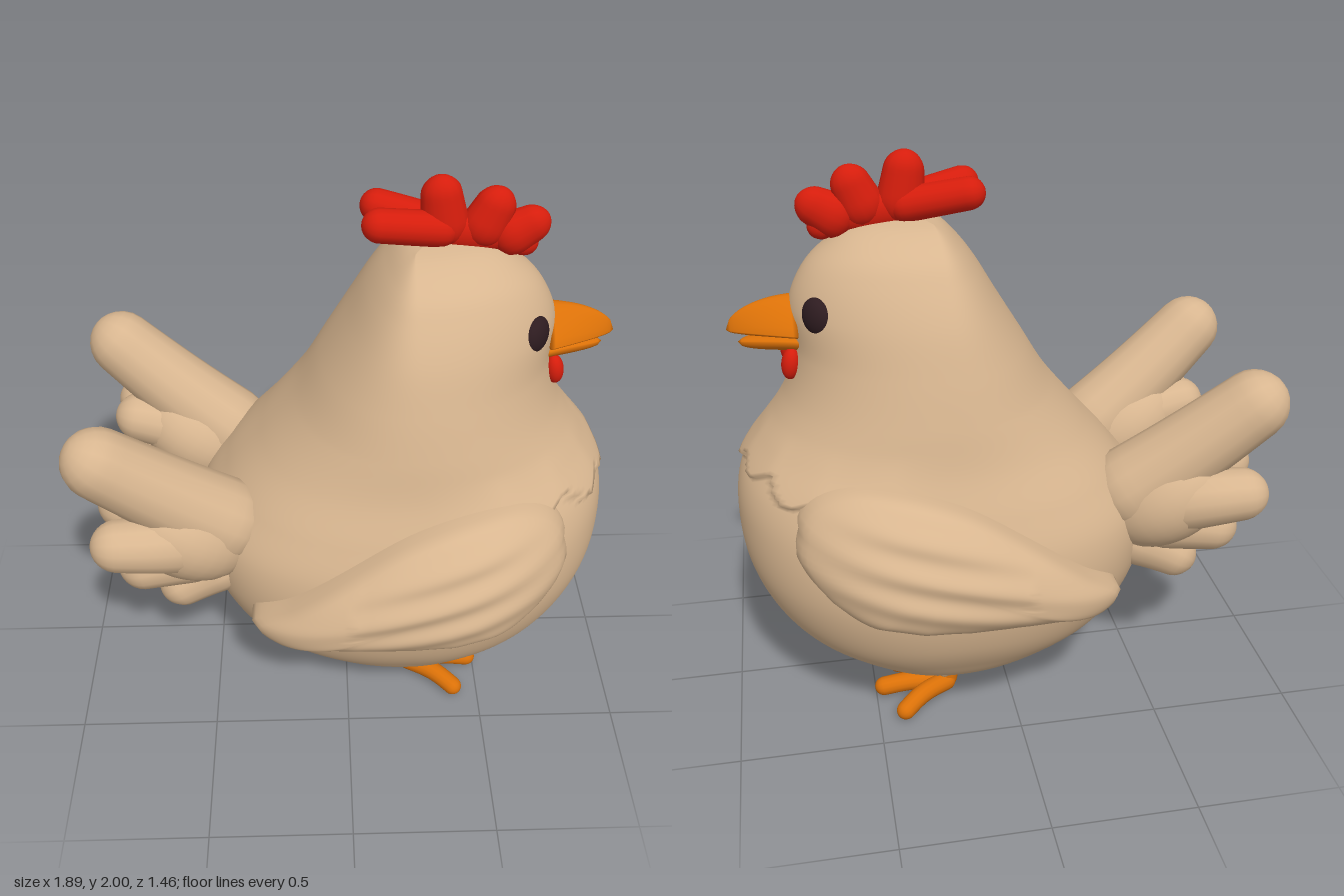
import * as THREE from 'three';
import { mergeVertices } from 'three/addons/utils/BufferGeometryUtils.js';

const paint = (name, color) => {
  const m = new THREE.MeshStandardMaterial({ color });
  m.name = name;
  return m;
};

// Smooth surface from fn(u, v) -> [x, y, z]; outward side is du x dv
function surface(nu, nv, fn, flip = false) {
  const pos = [], idx = [];
  for (let i = 0; i <= nu; i++)
    for (let j = 0; j <= nv; j++) pos.push(...fn(i / nu, (j % nv) / nv));
  for (let i = 0; i < nu; i++)
    for (let j = 0; j < nv; j++) {
      const a = i * (nv + 1) + j, b = a + nv + 1;
      if (flip) idx.push(a, a + 1, b, b, a + 1, b + 1);
      else idx.push(a, b, a + 1, b, b + 1, a + 1);
    }
  let g = new THREE.BufferGeometry();
  g.setAttribute('position', new THREE.Float32BufferAttribute(pos, 3));
  g.setIndex(idx);
  g = mergeVertices(g, 1e-5);
  g.computeVertexNormals();
  return g;
}

// Round-ended tapered limb through points
function limb(points, r0, r1) {
  const curve = new THREE.CatmullRomCurve3(points.map(p => new THREE.Vector3(...p)));
  const n = 24, m = 14, len = curve.getLength();
  let g = new THREE.TubeGeometry(curve, n, 1, m, false);
  g.deleteAttribute('uv');
  g.deleteAttribute('normal');
  const p = g.attributes.position, v = new THREE.Vector3();
  for (let i = 0; i <= n; i++) {
    const u = (1 - Math.cos(Math.PI * i / n)) / 2;
    const from = curve.getPointAt(i / n), to = curve.getPointAt(u);
    const cap = (d, r) => d >= r ? 1 : Math.sqrt(Math.max(0, 1 - (1 - d / r) ** 2));
    const r = (r0 + (r1 - r0) * u) * cap(u * len, Math.min(r0, len / 2)) * cap((1 - u) * len, Math.min(r1, len / 2));
    for (let j = 0; j <= m; j++) {
      const k = i * (m + 1) + j;
      v.fromBufferAttribute(p, k).sub(from).multiplyScalar(r).add(to);
      p.setXYZ(k, v.x, v.y, v.z);
    }
  }
  g = mergeVertices(g, 1e-5);
  g.computeVertexNormals();
  return g;
}

// Body levels: y, back x, front x, half width, roundness exponent
const MID = 0.22;
const LEVELS = [
  [0.155, MID, MID, 0, 2], [0.165, 0.0, 0.42, 0.26, 2], [0.2, -0.17, 0.56, 0.41, 2.1],
  [0.3, -0.37, 0.74, 0.5, 2.2], [0.42, -0.47, 0.85, 0.565, 2.2], [0.58, -0.53, 0.92, 0.6, 2.2],
  [0.75, -0.53, 0.94, 0.59, 2.2], [0.9, -0.43, 0.92, 0.545, 2.2], [1.05, -0.3, 0.835, 0.49, 2.1],
  [1.2, -0.18, 0.745, 0.455, 2], [1.35, -0.09, 0.705, 0.415, 1.9], [1.5, 0.0, 0.71, 0.365, 1.82],
  [1.62, 0.07, 0.66, 0.3, 1.9], [1.7, 0.13, 0.58, 0.235, 2], [1.76, 0.195, 0.47, 0.13, 2], [1.785, 0.28, 0.3, 0, 2],
];
const profile = new THREE.CubicInterpolant(LEVELS.map((_, i) => i), LEVELS.flat(), 5);
const levelAt = t => Array.from(profile.evaluate(t));
const backRoundness = n => Math.max(2, n) + 0.15;
function levelAtY(y) {
  let a = 0, b = LEVELS.length - 1;
  for (let i = 0; i < 30; i++) {
    const c = (a + b) / 2;
    if (levelAt(c)[0] < y) a = c; else b = c;
  }
  return levelAt(a);
}
function bodyHalfWidth(x, y) {
  const [, back, front, half, n] = levelAtY(y);
  const q = Math.min(1, Math.abs(x - MID) / (x > MID ? front - MID : MID - back));
  const e = x > MID ? n : backRoundness(n);
  return half * (1 - q ** e) ** (1 / e);
}

// Body surface with a ragged feather ledge across the chest
function body(u, v) {
  const [y, back, front, half, n] = levelAt(u * (LEVELS.length - 1));
  const a = v * Math.PI * 2, c = Math.cos(a), s = Math.sin(a);
  const e = 2 / (c > 0 ? n : backRoundness(n));
  const mid = Math.min(Math.max(MID, back), front);
  const edge = 0.98 - 0.05 * Math.abs(Math.sin(a * 8 + 0.6)) - 0.02 * Math.sin(a * 5);
  const ledge = y < edge ? 0 : 0.02 * THREE.MathUtils.smoothstep(c, 0, 0.5) * (1 - THREE.MathUtils.smoothstep(y, edge, 1.13));
  return [mid + Math.sign(c) * Math.abs(c) ** e * (c > 0 ? front - mid : mid - back) + ledge * c, y,
    Math.sign(s) * Math.abs(s) ** e * Math.max(0, half) + ledge * s];
}

// Folded wing hugging the body
const WING = [[-0.34, 0.57], [-0.2, 0.69], [0.0, 0.84], [0.2, 0.96], [0.4, 1.02], [0.58, 1.02], [0.7, 0.96], [0.75, 0.85],
  [0.73, 0.75], [0.66, 0.68], [0.57, 0.61], [0.38, 0.57], [0.1, 0.56], [-0.12, 0.55], [-0.28, 0.525]];
const wingEdge = new THREE.CatmullRomCurve3(WING.map(([x, y]) => new THREE.Vector3(x, y, 0)).reverse(), true);
function wing(side) {
  return surface(28, 96, (u, v) => {
    const s = Math.min(1, u * 28 / 27), back = u === 1;
    const e = wingEdge.getPointAt(v);
    const ragged = e.x > 0.2 && e.y < 0.9 ? 1 - 0.025 * Math.abs(Math.sin(v * 50)) * s : 1;
    const x = 0.3 + (e.x - 0.3) * s * ragged, y = 0.78 + (e.y - 0.78) * s * ragged;
    const tip = Math.max(0, 0.05 - x) * 0.08;
    // long feather grooves across the middle
    const groove = 0.008 * Math.sin((y - 0.25 * x) * 55) * Math.max(0, 1 - s * s) * (x > 0 ? 1 : 0.3);
    const lift = back ? -0.01 : 0.045 + 0.085 * Math.sqrt(1 - s ** 3) + tip + groove;
    return [x, y, side * (bodyHalfWidth(x, y) + lift)];
  }, side < 0);
}

// Half of a beak: a domed wedge running from root to tip
function beak(root, tip, half, topH, lowH, yTip, y0, pinch) {
  return surface(18, 28, (u, v) => {
    const k = Math.min(1, u * 18 / 17), a = v * Math.PI * 2;
    const w = u === 0 ? 0 : Math.sqrt(Math.max(0, 1 - k ** 2.2));
    const c = Math.cos(a), s = Math.sin(a);
    return [root + (tip - root) * k, y0 + (yTip - y0) * k * k + s * (s > 0 ? topH : lowH) * w,
      -c * half * Math.max(0, 1 - k) ** 0.75 * (u === 0 ? 0 : 1) * (s > 0 ? 1 - pinch * s : 1)];
  }, true);
}

export function createModel() {
  const hen = new THREE.Group();
  hen.name = 'hen';
  const feather = paint('tan feathers', 0xd8b690);
  const orange = paint('orange', 0xdb7108);
  const red = paint('red', 0xd61d0c);
  const dark = paint('dark eye', 0x2e1c20);
  const add = (name, geo, mat) => {
    const m = new THREE.Mesh(geo, mat);
    m.name = name;
    hen.add(m);
  };
  const ball = (name, mat, p, s, ry = 0, rz = 0) => {
    const g = new THREE.SphereGeometry(1, 28, 18).scale(...s).rotateZ(rz).rotateY(ry).translate(...p);
    add(name, g, mat);
  };

  add('body', surface(200, 144, body), feather);

  for (const side of [1, -1]) {
    const z = v => side * v;
    add('wing', wing(side), feather);

    // Tail fan: a full root with five plumes
    ball('tailRoot', feather, [-0.56, 0.81, z(0.29)], [0.25, 0.18, 0.19], side * 0.2, -0.6);
    const plume = (start, mid, tip, r0, r1) =>
      add('tailFeather', limb([start, mid, tip].map(([x, y, w]) => [x, y, z(w)]), r0, r1), feather);
    plume([-0.32, 0.74, 0.25], [-0.61, 0.97, 0.31], [-0.92, 1.24, 0.38], 0.16, 0.115);
    plume([-0.5, 0.79, 0.33], [-0.68, 0.84, 0.41], [-0.88, 0.86, 0.44], 0.12, 0.085);
    plume([-0.5, 0.81, 0.25], [-0.68, 0.87, 0.25], [-0.87, 0.91, 0.26], 0.12, 0.085);
    plume([-0.45, 0.72, 0.28], [-0.62, 0.7, 0.32], [-0.81, 0.67, 0.36], 0.13, 0.08);
    plume([-0.38, 0.66, 0.26], [-0.52, 0.6, 0.29], [-0.67, 0.52, 0.33], 0.12, 0.075);

    // Feather tufts around the leg
    for (let i = 0; i < 6; i++) {
      const a = i / 6 * Math.PI * 2 + 0.3, c = Math.cos(a), s = Math.sin(a);
      add('legTuft', limb([[0.23 + 0.03 * c, 0.2, z(0.23 + 0.03 * s)], [0.23 + 0.08 * c, 0.18, z(0.23 + 0.08 * s)],
        [0.23 + 0.14 * c, 0.165, z(0.23 + 0.14 * s)]], 0.035, 0.02), feather);
    }

    // Leg and three-toed foot
    add('leg', limb([[0.235, 0.22, z(0.235)], [0.235, 0.13, z(0.235)], [0.24, 0.015, z(0.235)]], 0.038, 0.045), orange);
    for (const [tx, ty, tz] of [[0.505, 0.04, 0.235], [0.43, 0.03, 0.4], [0.43, 0.03, 0.08]])
      add('toe', limb([[0.21, 0.05, z(0.235)], [(0.24 + tx) / 2, 0.055, z((0.235 + tz) / 2)], [tx, ty, z(tz)]], 0.036, 0.034), orange);

    ball('eye', dark, [0.617, 1.507, z(0.163)], [0.038, 0.066, 0.064], side * -0.68);
    ball('wattle', red, [0.715, 1.315, z(0.077)], [0.032, 0.056, 0.036], 0, 0.15);
    add('combRearLobe', limb([[0.36, 1.81, 0], [0.22, 1.84, z(0.04)], [0.05, 1.875, z(0.083)]], 0.06, 0.055), red);
  }

  // Comb, flattened sideways
  const flat = geo => geo.scale(1, 1, 0.78);
  ball('combBase', red, [0.4, 1.805, 0], [0.21, 0.065, 0.045], 0, -0.1);
  for (const [bx, by, tx, ty, r] of [[0.33, 1.76, 0.295, 2.0, 0.06], [0.42, 1.76, 0.505, 1.955, 0.058], [0.48, 1.76, 0.655, 1.86, 0.054]])
    add('combLobe', flat(limb([[bx, by, 0], [(bx + tx) / 2, (by + ty) / 2, 0], [tx, ty, 0]], 0.09, r)), red);
  add('combFront', flat(limb([[0.46, 1.79, 0], [0.55, 1.78, 0], [0.62, 1.735, 0]], 0.05, 0.045)), red);

  add('upperBeak', beak(0.67, 0.92, 0.14, 0.105, 0.025, 1.42, 1.43, 0.5), orange);
  add('lowerBeak', beak(0.66, 0.885, 0.115, 0.02, 0.05, 1.375, 1.395, 0.1), orange);

  return hen;
}
